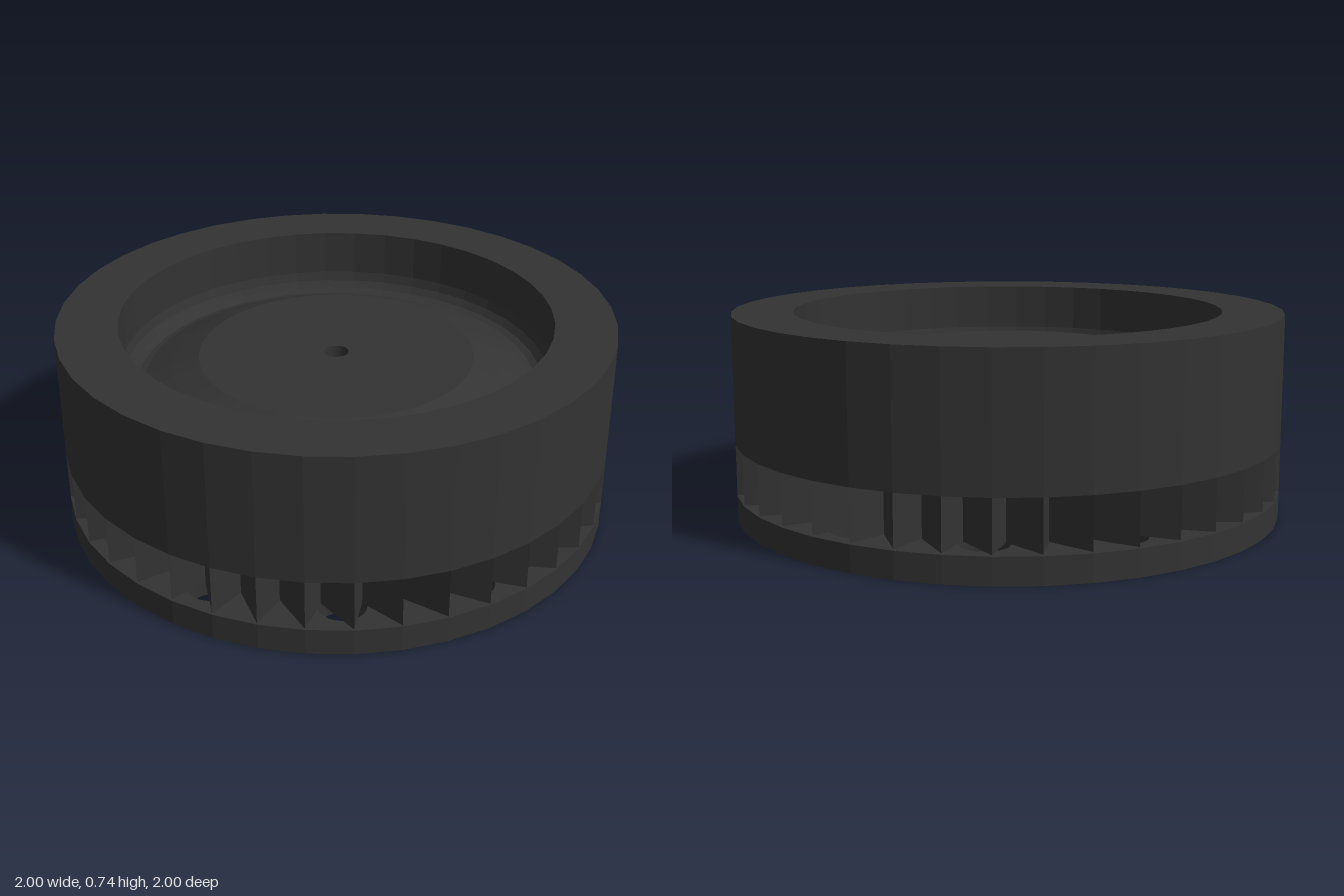
import * as THREE from 'three';

const SIDES = 40;
const STEP = (Math.PI * 2) / SIDES;

// Point on a plan drawing: angle runs from the front (+z) towards +x
const plan = (r, a) => new THREE.Vector2(r * Math.sin(a), -r * Math.cos(a));

export function createModel() {
  const group = new THREE.Group();
  const material = new THREE.MeshStandardMaterial({ color: 0x333333, flatShading: true });

  const add = (name, geometry) => {
    const mesh = new THREE.Mesh(geometry, material);
    mesh.name = name;
    group.add(mesh);
  };
  const turn = (profile) =>
    new THREE.LatheGeometry(profile.map(([r, y]) => new THREE.Vector2(r, y)), SIDES);
  const slab = (shape, y0, y1) =>
    new THREE.ExtrudeGeometry(shape, { depth: y1 - y0, bevelEnabled: false, curveSegments: 20 })
      .rotateX(-Math.PI / 2)
      .translate(0, y0, 0);
  const ringPoints = (r) => Array.from({ length: SIDES }, (_, i) => plan(r, i * STEP));

  // Upper body: thick rim around a shallow domed floor with a small centre hole
  add('upperBody', turn([
    [0.045, 0.28], [1, 0.28], [1, 0.74], [0.78, 0.74], [0.78, 0.57], [0.77, 0.535],
    [0.75, 0.51], [0.725, 0.5], [0.7, 0.505], [0.6, 0.55], [0.5, 0.59],
    [0.045, 0.59], [0.045, 0.28],
  ]));

  // Collar joining body and base plate, with a chamfered mouth underneath
  add('collar', turn([
    [0.63, 0.28], [0.63, 0.066], [0.69, 0], [0.69, 0.095], [0.75, 0.095], [0.75, 0.28],
  ]));

  // Saw-tooth ring of slanted vanes, just clear of the base plate
  const teeth = [];
  for (let i = 0; i < SIDES; i++) {
    teeth.push(plan(0.864, i * STEP - 0.116), plan(1, i * STEP));
  }
  const vanes = new THREE.Shape(teeth);
  vanes.holes.push(new THREE.Path(ringPoints(0.74)));
  add('vaneRing', slab(vanes, 0.1, 0.28));

  // Base plate with twelve round ports
  const plate = new THREE.Shape(ringPoints(1));
  plate.holes.push(new THREE.Path(ringPoints(0.69)));
  for (let i = 0; i < 12; i++) {
    const c = plan(0.865, THREE.MathUtils.degToRad(30 * i - 5));
    plate.holes.push(new THREE.Path().absarc(c.x, c.y, 0.083, 0, Math.PI * 2, true));
  }
  add('basePlate', slab(plate, 0, 0.095));

  return group;
}
